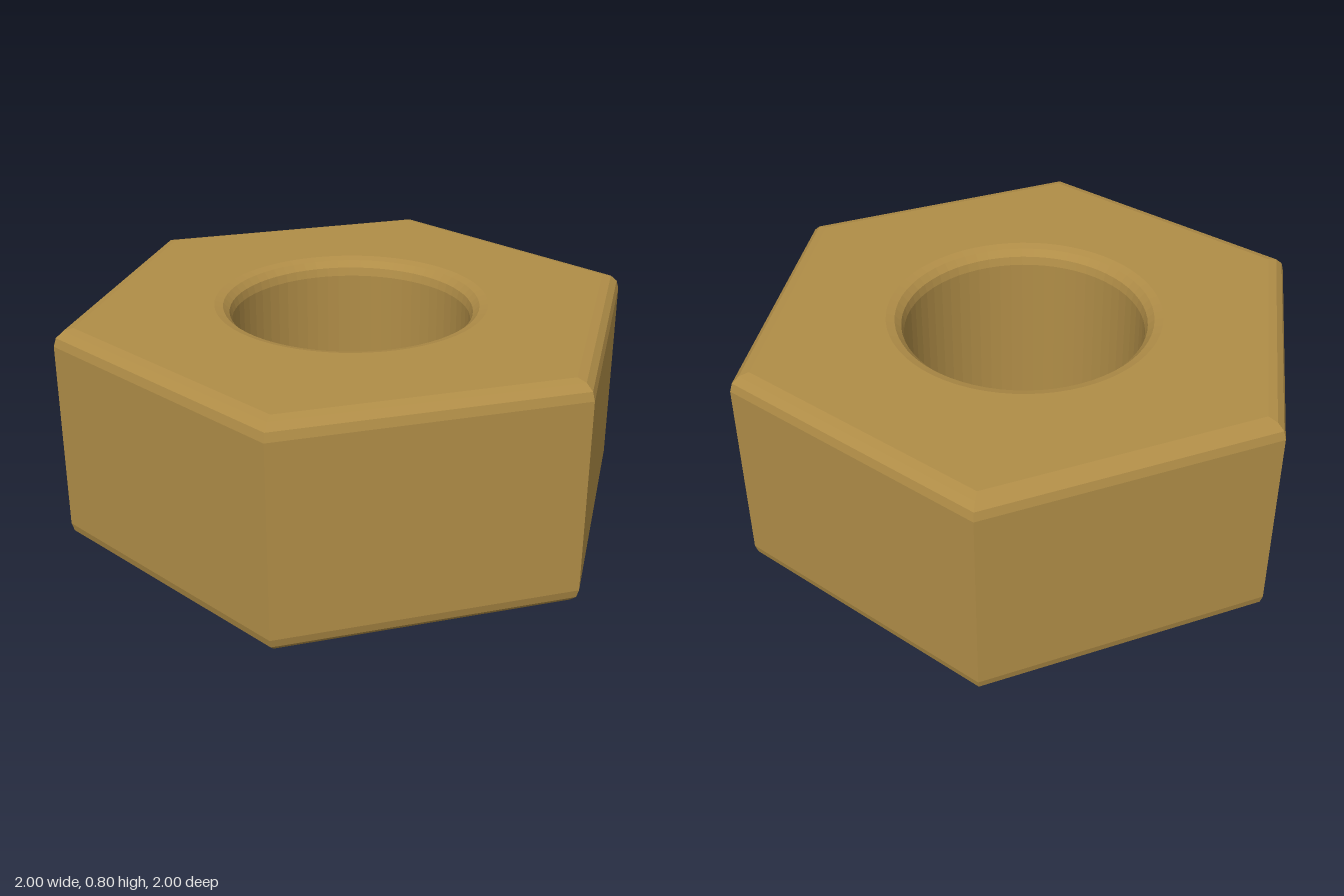
import * as THREE from 'three';

const HEIGHT = 0.8;
const CORNER_RADIUS = 1.0353; // centre to hexagon corner
const HOLE_RADIUS = 0.42;
const BEVEL = 0.06;

export function createModel() {
  const group = new THREE.Group();
  group.name = 'hexNut';

  // Hexagon outline, turned by 15 degrees
  const corners = [];
  for (let i = 0; i < 6; i++) {
    const a = Math.PI / 12 + (i * Math.PI) / 3;
    corners.push(new THREE.Vector2(CORNER_RADIUS * Math.cos(a), CORNER_RADIUS * Math.sin(a)));
  }
  const outline = new THREE.Shape(corners);

  // Round bore through the middle
  const bore = new THREE.Path();
  bore.absarc(0, 0, HOLE_RADIUS, 0, Math.PI * 2, true);
  outline.holes.push(bore);

  // Body with rounded rims on the outside and around the bore
  const geometry = new THREE.ExtrudeGeometry(outline, {
    depth: HEIGHT - 2 * BEVEL,
    curveSegments: 32,
    bevelEnabled: true,
    bevelThickness: BEVEL,
    bevelSize: BEVEL,
    bevelOffset: -BEVEL,
    bevelSegments: 3,
  });
  geometry.rotateX(-Math.PI / 2);
  geometry.translate(0, BEVEL, 0);

  const nut = new THREE.Mesh(
    geometry,
    new THREE.MeshStandardMaterial({ color: 0xb08d47, flatShading: true })
  );
  nut.name = 'nutBody';
  group.add(nut);
  return group;
}
